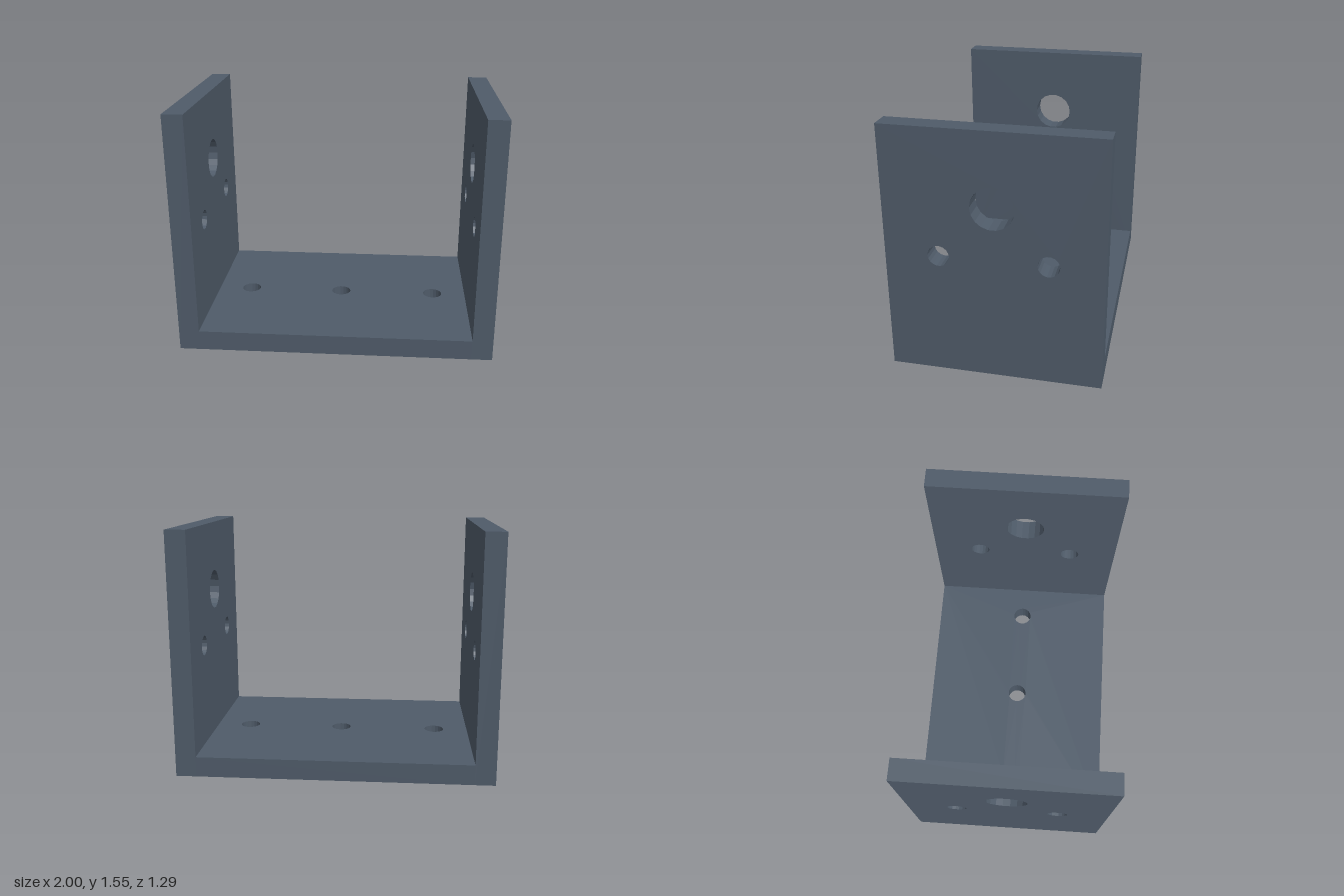
import * as THREE from 'three';

const U = 2 / 31; // base unit: overall width is 31 units
const WIDTH = 31 * U, HEIGHT = 24 * U, DEPTH = 20 * U, THICK = 2 * U;
const HOLE_SIDES = 18;

const material = new THREE.MeshStandardMaterial({ color: 0x4f5b69, flatShading: true });

// Faceted round hole
function hole(x, y, radius) {
  const points = [];
  for (let i = 0; i < HOLE_SIDES; i++) {
    const a = (-i / HOLE_SIDES) * Math.PI * 2;
    points.push(new THREE.Vector2(x + radius * Math.cos(a), y + radius * Math.sin(a)));
  }
  return new THREE.Path(points);
}

// Rectangular plate with holes, lying in XY and centred on its thickness
function plate(x0, y0, x1, y1, holes) {
  const shape = new THREE.Shape([
    new THREE.Vector2(x0, y0), new THREE.Vector2(x1, y0),
    new THREE.Vector2(x1, y1), new THREE.Vector2(x0, y1),
  ]);
  shape.holes = holes;
  return new THREE.ExtrudeGeometry(shape, { depth: THICK, bevelEnabled: false })
    .translate(0, 0, -THICK / 2);
}

export function createModel() {
  const bracket = new THREE.Group();
  bracket.name = 'uBracket';

  // Base between the walls, with a row of three mounting holes
  const halfBase = WIDTH / 2 - THICK;
  const baseHoles = [-10, 0, 10].map((x) => hole(x * U, 0, U));
  const base = new THREE.Mesh(
    plate(-halfBase, -DEPTH / 2, halfBase, DEPTH / 2, baseHoles).rotateX(-Math.PI / 2), material);
  base.name = 'basePlate';
  base.position.y = THICK / 2;
  bracket.add(base);

  // Side walls, each with a large bore and two screw holes
  const wallHoles = [hole(0, 17 * U, 2 * U), hole(-5 * U, 12 * U, U), hole(5 * U, 12 * U, U)];
  const wallGeometry = plate(-DEPTH / 2, 0, DEPTH / 2, HEIGHT, wallHoles).rotateY(-Math.PI / 2);
  for (const side of [1, -1]) {
    const wall = new THREE.Mesh(wallGeometry, material);
    wall.name = side > 0 ? 'leftWall' : 'rightWall';
    wall.position.x = side * (WIDTH - THICK) / 2;
    bracket.add(wall);
  }

  return bracket;
}
